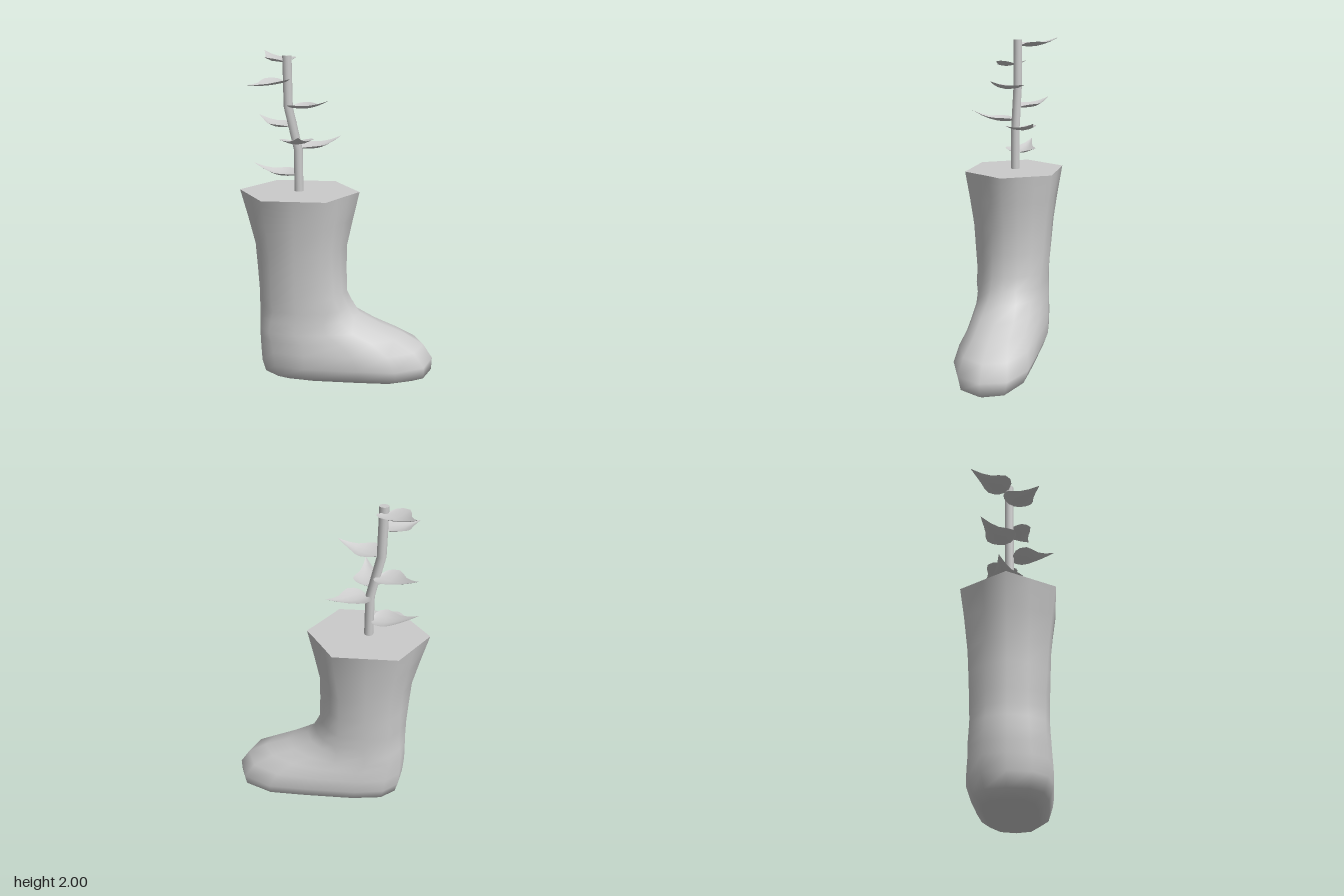
import * as THREE from 'three';

const grey = new THREE.MeshStandardMaterial({ color: 0xcccccc });
const greyThin = new THREE.MeshStandardMaterial({ color: 0xcccccc, side: THREE.DoubleSide });

// Half outlines from back to front: [fraction of length, fraction of half width]
const HEX = [[0, 0], [.125, .5], [.25, 1], [.5, 1], [.765, 1], [.84, .67], [.92, .33], [1, 0]];
const OVAL = [[0, 0], [.07, .5], [.2, .9], [.46, 1], [.76, .93], [.88, .68], [.96, .36], [1, 0]];
const INSTEP = [[0, 0], [.033, .52], [.12, .88], [.33, 1], [.58, .93], [.78, .76], [.93, .46], [1, 0]];
const FOOT = [[0, 0], [.025, .55], [.11, .88], [.28, 1], [.58, 1], [.79, .97], [.95, .62], [1, 0]];
const mix = (a, b, t) => a.map((p, i) => p.map((v, k) => v + (b[i][k] - v) * t));

// Boot levels: y, back x, front x, half width, outline
const LEVELS = [
  [1.19, -.6, .125, .27, HEX],
  [1.02, -.556, .086, .25, mix(HEX, OVAL, .2)],
  [.85, -.516, .05, .235, mix(HEX, OVAL, .5)],
  [.7, -.507, .049, .228, mix(HEX, OVAL, .7)],
  [.56, -.5, .052, .222, OVAL],
  [.48, -.5, .09, .22, OVAL],
  [.41, -.5, .135, .22, mix(OVAL, INSTEP, .5)],
  [.34, -.503, .27, .224, INSTEP],
  [.28, -.505, .42, .228, INSTEP],
  [.21, -.504, .535, .233, mix(INSTEP, FOOT, .6)],
  [.12, -.497, .593, .233, FOOT],
  [.04, -.48, .59, .205, FOOT],
  [0, -.4, .515, .15, FOOT],
];

// Full ring of points, mirrored across z
function ring([y, back, front, w, outline]) {
  const half = outline.map(([f, g]) => new THREE.Vector3(back + f * (front - back), y, g * w));
  const other = half.slice(1, -1).reverse().map(p => new THREE.Vector3(p.x, y, -p.z));
  return [...half, ...other];
}

function bootGeometry() {
  const rings = LEVELS.map(ring), n = rings[0].length, index = [];
  const points = [...rings.flat(), new THREE.Vector3(.05, .004, 0)];
  for (let r = 0; r < rings.length - 1; r++) {
    for (let i = 0; i < n; i++) {
      const j = (i + 1) % n, a = r * n + i, b = r * n + j;
      index.push(a, a + n, b, b, a + n, b + n);
    }
  }
  // sole
  const last = (rings.length - 1) * n;
  for (let i = 0; i < n; i++) index.push(points.length - 1, last + (i + 1) % n, last + i);
  const geo = new THREE.BufferGeometry().setFromPoints(points);
  geo.setIndex(index);
  geo.computeVertexNormals();
  // soften the shading around each ring
  const normal = geo.attributes.normal, get = k => new THREE.Vector3().fromBufferAttribute(normal, k);
  for (let r = 0; r < rings.length; r++) {
    const soft = rings[r].map((_, i) => get(r * n + i).multiplyScalar(1.5)
      .add(get(r * n + (i + 1) % n)).add(get(r * n + (i + n - 1) % n)).normalize());
    soft.forEach((v, i) => normal.setXYZ(r * n + i, v.x, v.y, v.z));
  }
  return geo;
}

// Stem centre line: [x, y] from top to bottom
const STEM = [[-.297, 1.98], [-.295, 1.69], [-.24, 1.44], [-.24, 1.17]];
function stemX(y) {
  for (let i = 0; i < 3; i++) {
    const [x0, y0] = STEM[i], [x1, y1] = STEM[i + 1];
    if (y >= y1) return x0 + (x1 - x0) * (y0 - y) / (y0 - y1);
  }
  return STEM[3][0];
}

function stemGeometry() {
  const geo = new THREE.CylinderGeometry(.027, .027, 1, 12, 3), p = geo.attributes.position;
  for (let i = 0; i < p.count; i++) {
    const [x, y] = STEM[Math.round((.5 - p.getY(i)) * 3)];
    p.setX(i, p.getX(i) + x);
    p.setY(i, y);
  }
  return geo;
}

// Heart-shaped leaf, folded along its midrib: [distance along, half width]
const LEAF = [[0, .03], [.04, .065], [.13, .09], [.28, .1], [.42, .082], [.58, .05], [.76, .026], [.9, .011], [1, 0]];
function leafGeometry(baseY, tip) {
  const base = new THREE.Vector3(stemX(baseY), baseY, 0);
  const along = new THREE.Vector3(tip[0] - base.x, 0, tip[2]);
  const length = along.length();
  along.normalize();
  const side = new THREE.Vector3(-along.z, 0, along.x);
  const points = [], index = [], cols = 5;
  LEAF.forEach(([t, w], r) => {
    for (let c = 0; c < cols; c++) {
      const s = c / 2 - 1;
      const p = base.clone().addScaledVector(along, .018 + t * (length - .018)).addScaledVector(side, s * w);
      p.y += (tip[1] - baseY) * t ** 1.7 - .014 * Math.sin(Math.PI * t) + .28 * w * s * s;
      points.push(p);
      if (r && c) {
        const d = r * cols + c, b = d - cols;
        index.push(b - 1, b, d - 1, b, d, d - 1);
      }
    }
  });
  const geo = new THREE.BufferGeometry().setFromPoints(points);
  geo.setIndex(index);
  geo.computeVertexNormals();
  return geo;
}

// Leaves: base height on the stem, tip position
const LEAVES = [
  [1.285, [-.52, 1.35, -.045]],
  [1.445, [0, 1.5, -.165]],
  [1.49, [-.2, 1.555, .27]],
  [1.57, [-.5, 1.625, -.155]],
  [1.69, [-.045, 1.74, .11]],
  [1.835, [-.5, 1.83, .19]],
  [1.945, [-.47, 2, -.225]],
];

export function createModel() {
  const group = new THREE.Group();
  const add = (name, geo, mat = grey) => {
    const mesh = new THREE.Mesh(geo, mat);
    mesh.name = name;
    group.add(mesh);
  };
  add('boot', bootGeometry());
  // flat filling at the boot opening
  const rim = new THREE.Shape(ring(LEVELS[0]).map(p => new THREE.Vector2(p.x, -p.z)));
  add('soil', new THREE.ShapeGeometry(rim).rotateX(-Math.PI / 2).translate(0, LEVELS[0][0], 0));
  add('stem', stemGeometry());
  LEAVES.forEach(([y, tip], i) => add('leaf' + (i + 1), leafGeometry(y, tip), greyThin));
  return group;
}
